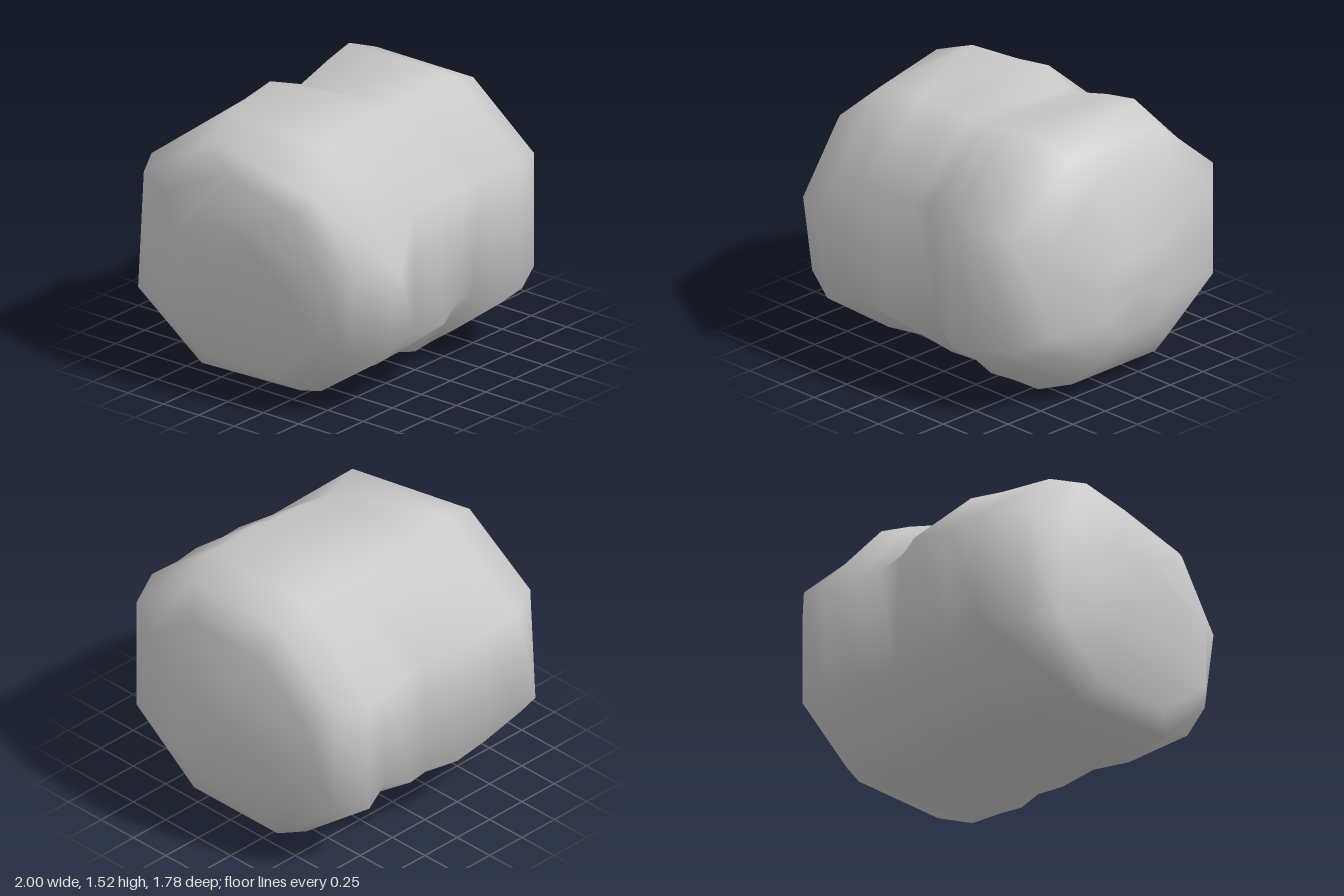
import * as THREE from 'three';

// Cross-sections along x: [x, bottom, top, back z, front z, lean of the top in x]
const RINGS = [
  [-1.0, 0.49, 1.03, -0.38, 0.22, 0],
  [-0.925, 0.2, 1.3, -0.58, 0.6, 0],
  [-0.83, 0.09, 1.41, -0.775, 0.77, 0],
  [-0.6, 0.02, 1.505, -0.87, 0.82, 0],
  [-0.35, 0.042, 1.47, -0.86, 0.78, 0],
  [-0.12, 0.018, 1.5, -0.88, 0.805, 0],
  [0.07, 0.035, 1.49, -0.84, 0.8, 0],
  [0.2, 0, 1.52, -0.84, 0.815, 0],
  [0.36, 0.008, 1.51, -0.84, 0.8, 0],
  [0.55, 0.01, 1.515, -0.87, 0.805, 0],
  [0.76, 0.09, 1.43, -0.815, 0.715, 0],
  [0.875, 0.22, 1.28, -0.7, 0.53, 0],
  [0.98, 0.37, 0.88, -0.28, 0.21, 0.02],
];

// Octagon corners as (z, y) fractions, from the front side over the top
const CORNERS = [
  [1, 0.5], [0.44, 1], [-0.46, 1], [-1, 0.47],
  [-1, -0.5], [-0.42, -1], [0.42, -1], [1, -0.5],
];

// Local twists, lumps and dents: ring -> corner -> (dz, dy)
const DENTS = {
  1: { 0: [0, -0.17], 1: [0.13, -0.12], 2: [0.2, 0], 3: [0.05, 0.08] },
  2: {
    0: [-0.01, -0.22], 1: [0.14, -0.15], 2: [0.09, 0.01], 3: [0.04, 0.05],
    6: [0.05, 0.02], 7: [-0.08, -0.02],
  },
  3: { 0: [0.07, -0.26], 1: [0.06, -0.03], 2: [0.1, 0], 4: [-0.02, 0.1], 7: [-0.02, -0.05] },
  6: { 2: [0.04, -0.05], 3: [0.05, -0.03], 7: [-0.05, 0.06] },
  7: { 2: [0.03, -0.06], 3: [0.04, -0.08], 5: [0.02, 0.02], 7: [-0.06, 0.08] },
  8: { 2: [0, -0.02], 3: [0.01, -0.08], 4: [0.03, 0.06], 7: [0, -0.03] },
  9: { 3: [0, -0.06] },
};

function createBodyGeometry() {
  const n = CORNERS.length;
  const positions = [];
  const index = [];
  RINGS.forEach(([x, y0, y1, z0, z1, lean], r) => {
    CORNERS.forEach(([cz, cy], c) => {
      const [dz, dy] = DENTS[r]?.[c] ?? [0, 0];
      positions.push(
        x + lean * cy,
        (y0 + y1) / 2 + (cy * (y1 - y0)) / 2 + dy,
        (z0 + z1) / 2 + (cz * (z1 - z0)) / 2 + dz
      );
    });
  });

  // Skin between neighbouring sections
  for (let r = 0; r < RINGS.length - 1; r++) {
    for (let c = 0; c < n; c++) {
      const a = r * n + c;
      const d = r * n + ((c + 1) % n);
      index.push(a, a + n, d, a + n, d + n, d);
    }
  }

  // Closed ends
  const last = RINGS.length - 1;
  for (const r of [0, last]) {
    const [x, y0, y1, z0, z1] = RINGS[r];
    const centre = positions.length / 3;
    positions.push(x, (y0 + y1) / 2, (z0 + z1) / 2);
    for (let c = 0; c < n; c++) {
      const a = r * n + c;
      const b = r * n + ((c + 1) % n);
      if (r) index.push(centre, b, a);
      else index.push(centre, a, b);
    }
  }

  const geometry = new THREE.BufferGeometry();
  geometry.setAttribute('position', new THREE.Float32BufferAttribute(positions, 3));
  geometry.setIndex(index);
  geometry.computeVertexNormals();
  return geometry;
}

export function createModel() {
  const group = new THREE.Group();
  group.name = 'lumpyBlock';
  const body = new THREE.Mesh(
    createBodyGeometry(),
    new THREE.MeshStandardMaterial({ color: 0xcccccc })
  );
  body.name = 'body';
  group.add(body);
  return group;
}
